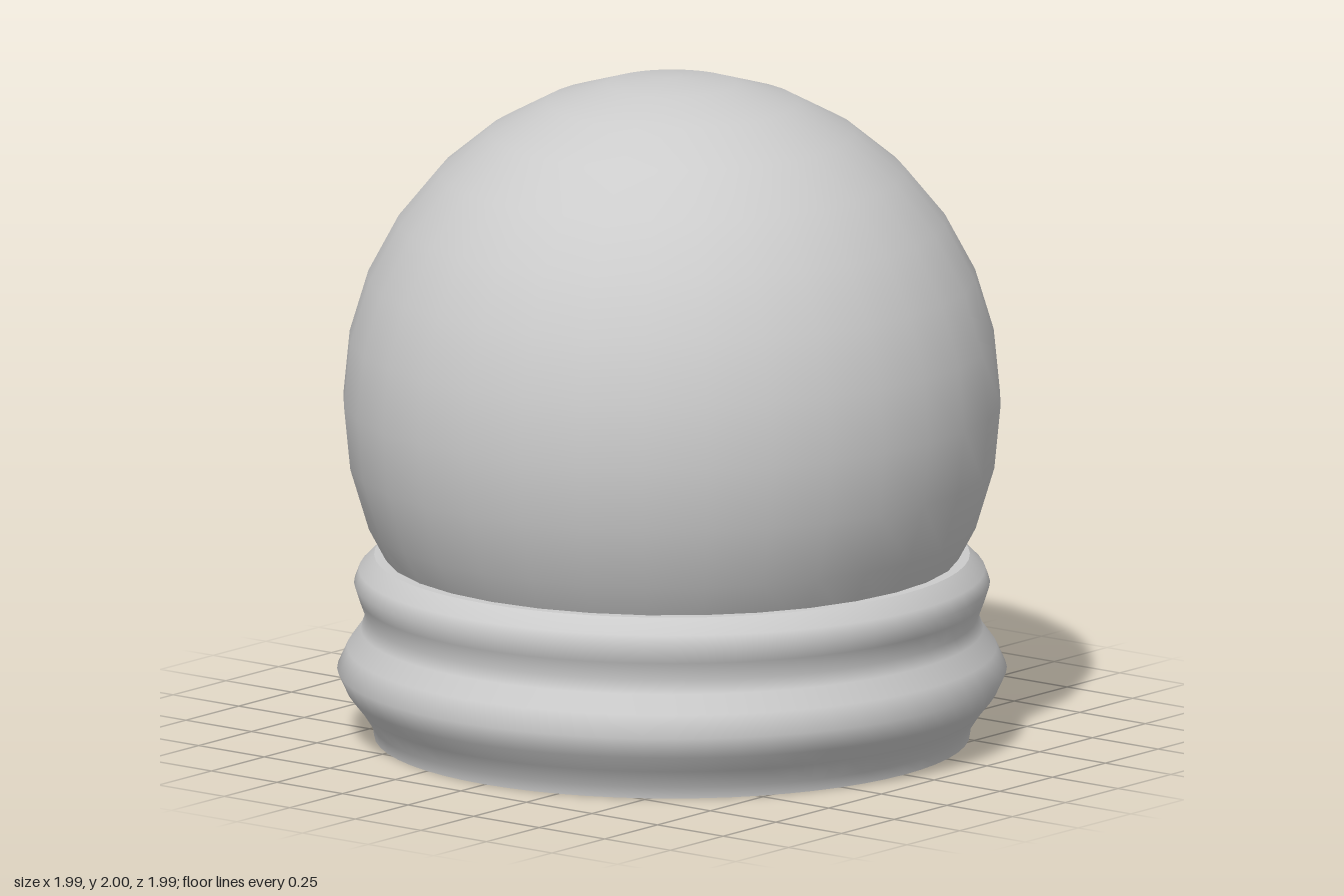
import * as THREE from 'three';

export function createModel() {
  const group = new THREE.Group();
  const material = new THREE.MeshStandardMaterial({ color: 0xcccccc });

  // Globe sunk into the stand
  const globe = new THREE.Mesh(new THREE.SphereGeometry(0.98, 32, 16), material);
  globe.name = 'globe';
  globe.position.y = 1.02;
  group.add(globe);

  // Turned stand; repeated points keep the bottom and top rims sharp
  const profile = [
    [0, 0], [0.885, 0], [0.885, 0],
    [0.89, 0.035], [0.925, 0.09], [0.965, 0.14], [0.995, 0.205],
    [0.965, 0.27], [0.925, 0.325], [0.91, 0.365], [0.93, 0.42],
    [0.945, 0.465], [0.93, 0.505],
    [0.885, 0.55], [0.885, 0.55], [0, 0.55],
  ].map(([r, y]) => new THREE.Vector2(r, y));
  const stand = new THREE.Mesh(new THREE.LatheGeometry(profile, 64), material);
  stand.name = 'stand';
  group.add(stand);

  return group;
}
